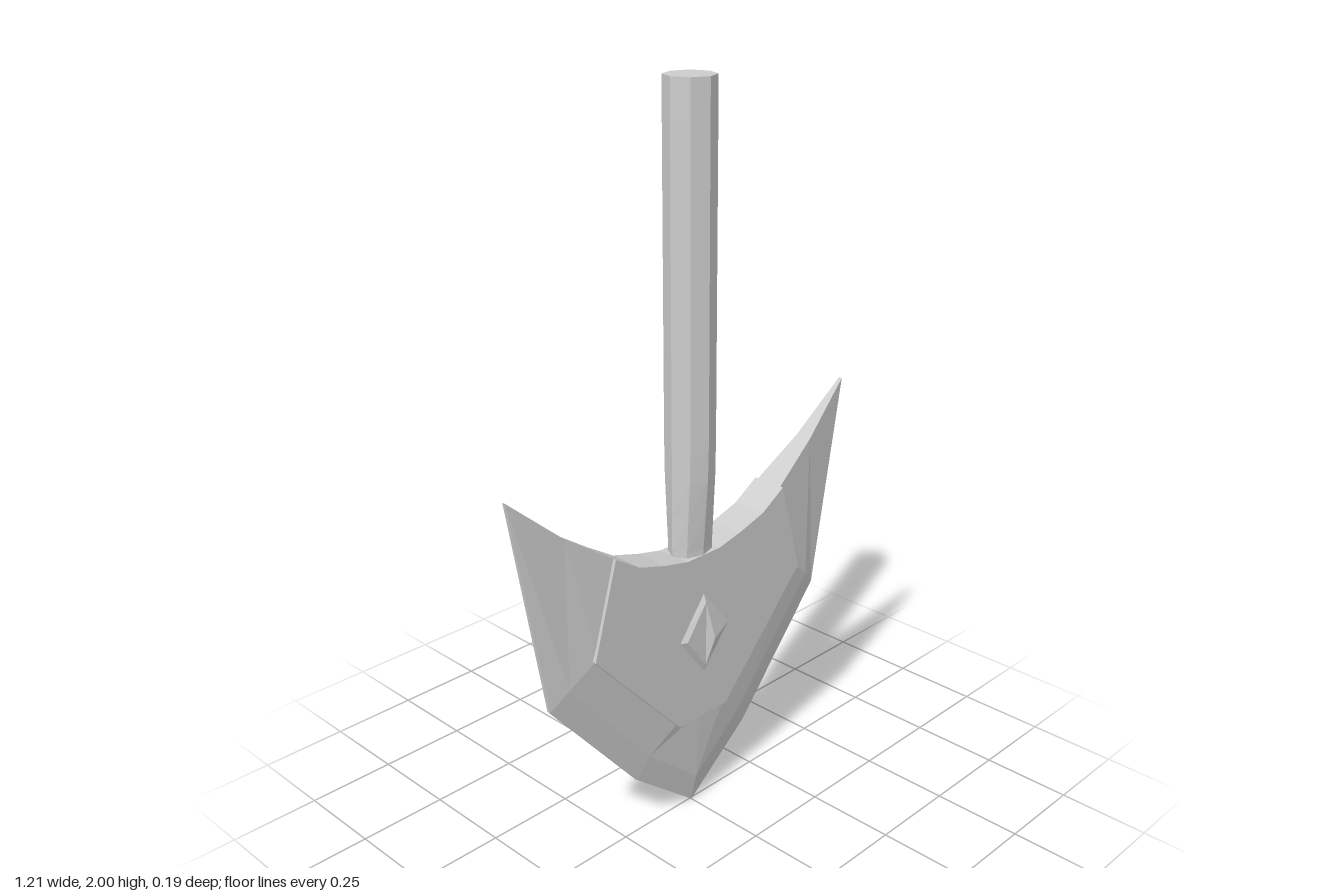
import * as THREE from 'three';
import { ConvexGeometry } from 'three/addons/geometries/ConvexGeometry.js';

const material = new THREE.MeshStandardMaterial({ color: 0xcccccc, flatShading: true });

function addMesh(parent, name, geometry) {
  const mesh = new THREE.Mesh(geometry, material);
  mesh.name = name;
  parent.add(mesh);
  return mesh;
}

// Tapered cutting rim: sections run from one horn, round the tip, to the other horn.
function rimGeometry() {
  // each section: sharp edge, mid bevel, inner edge under the plate (x, y)
  const half = [
    [[0.605, 1.11], [0.45, 0.975], [0.3, 0.873]],
    [[0.5, 0.51], [0.45, 0.56], [0.37, 0.625]],
    [[0.21, 0.17], [0.18, 0.24], [0.09, 0.31]],
    [[0, 0.003], [0, 0.09], [0, 0.31]],
  ];
  const mirrored = half.slice(0, 3).reverse().map((s) => s.map(([x, y]) => [-x, y]));
  const depth = [0.005, 0.024, 0.042];
  const rings = [...half, ...mirrored].map((s) => {
    const front = s.map(([x, y], k) => [x, y, depth[k]]).reverse();
    const back = s.map(([x, y], k) => [x, y, -depth[k]]);
    return [...front, ...back];
  });
  const pos = [];
  const quad = (a, b, c, d) => pos.push(...a, ...b, ...c, ...a, ...c, ...d);
  for (let i = 0; i < rings.length - 1; i++) {
    const p = rings[i], q = rings[i + 1];
    for (let j = 0; j < 5; j++) quad(p[j], q[j], q[j + 1], p[j + 1]);
  }
  // upper edges of the two horns
  const r = rings[0], l = rings[rings.length - 1];
  for (const [a, b, c, d] of [[0, 1, 4, 5], [1, 2, 3, 4]]) {
    quad(r[a], r[b], r[c], r[d]);
    quad(l[d], l[c], l[b], l[a]);
  }
  const g = new THREE.BufferGeometry();
  g.setAttribute('position', new THREE.Float32BufferAttribute(pos, 3));
  g.computeVertexNormals();
  return g;
}

// Thick central plate with a concave top
function plateGeometry() {
  const right = [[0.09, 0.3], [0.385, 0.62], [0.31, 0.88], [0.23, 0.83], [0.14, 0.803], [0.06, 0.785]];
  const left = right.map(([x, y]) => [-x, y]).reverse();
  const shape = new THREE.Shape([...right, ...left].map(([x, y]) => new THREE.Vector2(x, y)));
  return new THREE.ExtrudeGeometry(shape, { depth: 0.1, bevelEnabled: false }).translate(0, 0, -0.05);
}

// Eight-sided shaft, flattened front to back where it enters the plate
function shaftGeometry() {
  const g = new THREE.CylinderGeometry(0.066, 0.066, 1.3, 8, 13).translate(0, 1.35, 0);
  const p = g.attributes.position;
  for (let i = 0; i < p.count; i++) {
    const t = THREE.MathUtils.clamp((p.getY(i) - 0.8) / 0.23, 0, 1);
    p.setZ(i, p.getZ(i) * THREE.MathUtils.lerp(0.74, 1, t));
  }
  g.computeVertexNormals();
  return g;
}

// Bevelled diamond stud with one half raised to a ridge
function stud() {
  const group = new THREE.Group();
  const v = (x, y, z) => new THREE.Vector3(x, y, z);
  const diamond = (w, h, z) => [v(w, 0, z), v(0, h, z), v(-w, 0, z), v(0, -h, z)];
  addMesh(group, 'studBase', new ConvexGeometry([...diamond(0.095, 0.125, 0.045), ...diamond(0.07, 0.095, 0.06)]));
  addMesh(group, 'studRidge', new ConvexGeometry([v(0, 0.12, 0.05), v(0, -0.12, 0.05), v(0.09, 0, 0.055), v(0, 0, 0.093)]));
  group.position.y = 0.555;
  return group;
}

export function createModel() {
  const model = new THREE.Group();
  model.name = 'broadBladeOnShaft';
  addMesh(model, 'bladeRim', rimGeometry());
  addMesh(model, 'bladePlate', plateGeometry());
  addMesh(model, 'shaft', shaftGeometry());

  // one stud on each face
  ['frontStud', 'backStud'].forEach((name, i) => {
    const s = stud();
    s.name = name;
    s.rotation.y = i * Math.PI;
    model.add(s);
  });
  return model;
}
